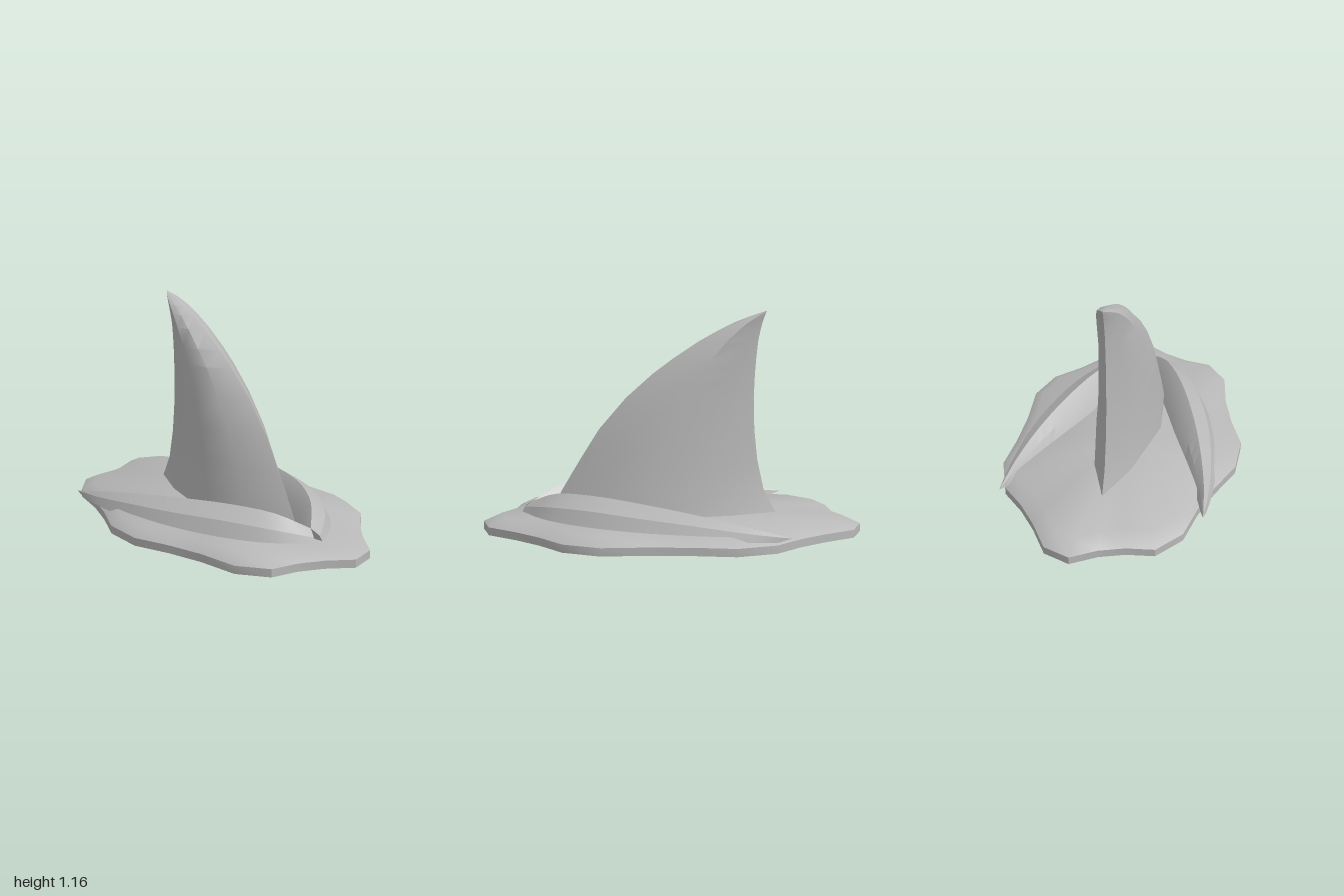
import * as THREE from 'three';
import { toCreasedNormals } from 'three/addons/utils/BufferGeometryUtils.js';

const CX = 0.013; // shared centre line of fin and waves

// Closed solid through rings of [x, y, z] points, capped at both ends
function loft(rings, crease) {
  const n = rings[0].length, tris = [];
  const add = (a, b, c) => tris.push([a, b, c].map((p) => new THREE.Vector3(...p)));
  for (let i = 0; i < rings.length - 1; i++) {
    for (let j = 0; j < n; j++) {
      const k = (j + 1) % n, a = rings[i], b = rings[i + 1];
      add(a[j], a[k], b[k]);
      add(a[j], b[k], b[j]);
    }
  }
  const cap = (ring, flip) => {
    const mid = [0, 1, 2].map((d) => ring.reduce((s, p) => s + p[d], 0) / n);
    ring.forEach((p, j) => {
      const q = ring[(j + 1) % n];
      if (flip) add(mid, q, p); else add(mid, p, q);
    });
  };
  cap(rings[0], true);
  cap(rings[rings.length - 1], false);

  // drop collapsed triangles and turn the solid outwards
  const area = (t) => t[1].clone().sub(t[0]).cross(t[2].clone().sub(t[0])).length();
  const solid = tris.filter((t) => area(t) > 1e-9);
  const volume = solid.reduce((s, t) => s + t[0].dot(t[1].clone().cross(t[2])), 0);
  if (volume < 0) solid.forEach((t) => t.reverse());
  const g = new THREE.BufferGeometry();
  g.setFromPoints(solid.flat());
  return toCreasedNormals(g, crease);
}

// Smooth resampling of a list of 3-value stations
function smooth(stations, count) {
  return new THREE.CatmullRomCurve3(stations.map((p) => new THREE.Vector3(...p)))
    .getPoints(count).map((v) => v.toArray());
}

// Irregular water patch with a bevelled rim
function waterGeometry() {
  const outline = [
    [0.08, -1], [0.22, -0.95], [0.32, -0.79], [0.42, -0.66], [0.54, -0.54], [0.61, -0.34], [0.595, -0.13],
    [0.595, 0.1], [0.615, 0.335], [0.55, 0.53], [0.42, 0.66], [0.32, 0.79], [0.22, 0.95], [0.08, 1],
    [-0.05, 0.92], [-0.18, 0.87], [-0.325, 0.85], [-0.44, 0.71], [-0.48, 0.49], [-0.54, 0.3], [-0.62, 0.11],
    [-0.62, -0.11], [-0.54, -0.31], [-0.48, -0.5], [-0.44, -0.71], [-0.325, -0.855], [-0.18, -0.875], [-0.05, -0.92],
  ];
  const ring = (s, y) => outline.map(([x, z]) => [x * s, y, z * s]);
  return loft([ring(1, 0), ring(1, 0.042), ring(0.905, 0.085)], 0.7);
}

// Swept-back fin made of horizontal leaf-shaped slices
function finGeometry() {
  // y, front z, back z, half width
  const rows = [
    [0.05, 0.66, -0.575, 0.187], [0.11, 0.635, -0.54, 0.182], [0.21, 0.58, -0.49, 0.172], [0.37, 0.485, -0.455, 0.158],
    [0.53, 0.385, -0.438, 0.145], [0.7, 0.24, -0.433, 0.127], [0.83, 0.096, -0.438, 0.112], [0.91, -0.01, -0.444, 0.1],
    [1.0, -0.144, -0.453, 0.083], [1.06, -0.25, -0.465, 0.066], [1.1, -0.33, -0.475, 0.052],
    [1.135, -0.42, -0.487, 0.032], [1.16, -0.497, -0.497, 0],
  ];
  const leaf = [[0, 0], [0.2, 0.8], [0.45, 1], [0.79, 0.54], [1, 0],
    [0.79, -0.54], [0.45, -1], [0.2, -0.8]]; // position along, share of width
  return loft(rows.map(([y, f, b, w]) =>
    leaf.map(([t, u]) => [CX + u * w, y, f + (b - f) * t])), 0.65);
}

// One curved bow wave, side = 1 (left) or -1 (right)
function waveGeometry(side) {
  const N = 18;
  // x, y, z along each long edge
  const outer = smooth([[0.03, 0.11, 0.81], [0.21, 0.145, 0.67], [0.36, 0.16, 0.45], [0.465, 0.15, 0.195],
    [0.53, 0.13, -0.105], [0.55, 0.1, -0.4], [0.537, 0.08, -0.61]], N);
  const ridge = smooth([[0, 0.14, 0.74], [0.12, 0.205, 0.6], [0.24, 0.22, 0.39], [0.35, 0.203, 0.13],
    [0.44, 0.17, -0.14], [0.505, 0.125, -0.4], [0.537, 0.08, -0.61]], N);
  const inner = smooth([[0, 0.11, 0.63], [0.08, 0.15, 0.47], [0.17, 0.16, 0.27], [0.265, 0.15, 0.04],
    [0.37, 0.13, -0.19], [0.465, 0.1, -0.41], [0.537, 0.08, -0.61]], N);
  const rings = outer.map((o, i) => {
    const r = ridge[i], n = inner[i];
    const floor = i === N ? 0.08 : 0.06;
    const shoulder = (e, t) => [e[0] + (r[0] - e[0]) * t, e[1], e[2] + (r[2] - e[2]) * t];
    return [[o[0], floor, o[2]], shoulder(o, 0.35), r, shoulder(n, 0.45), [n[0], floor, n[2]]]
      .map(([x, y, z]) => [CX + side * x, y, z]);
  });
  return loft(rings, 0.38);
}

export function createModel() {
  const grey = new THREE.MeshStandardMaterial({ color: 0xb8b8b8 });
  grey.name = 'plain grey';
  const model = new THREE.Group();
  model.name = 'finInWater';
  const add = (name, geometry) => {
    const mesh = new THREE.Mesh(geometry, grey);
    mesh.name = name;
    model.add(mesh);
  };
  add('waterBase', waterGeometry());
  add('fin', finGeometry());
  add('leftWave', waveGeometry(1));
  add('rightWave', waveGeometry(-1));
  return model;
}
